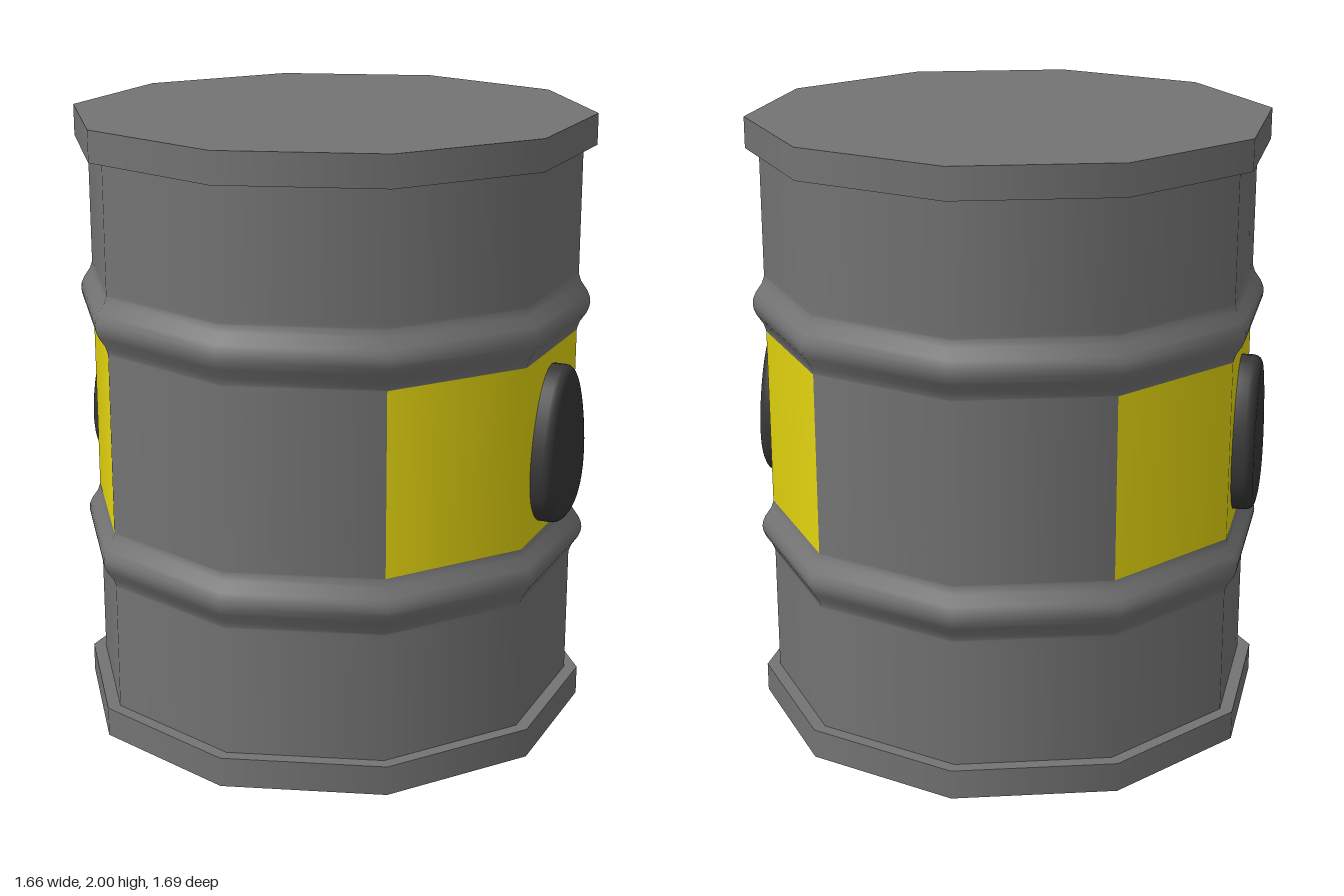
import * as THREE from 'three';
import { toCreasedNormals } from 'three/addons/utils/BufferGeometryUtils.js';

const SIDES = 10, STEP = Math.PI * 2 / SIDES;
const BODY_R = 0.8, RIM_R = 0.843;

const paint = (color) => new THREE.MeshStandardMaterial({ color, side: THREE.DoubleSide });

export function createModel() {
  const model = new THREE.Group();
  const steel = paint(0x747474), yellow = paint(0xe3d40f), dark = paint(0x363636);
  const grey = paint(0xcccccc), orange = paint(0xe06a14);

  const add = (name, geometry, material, parent = model) => {
    const mesh = new THREE.Mesh(geometry, material);
    mesh.name = name;
    parent.add(mesh);
    return mesh;
  };

  // Wall section turned from [radius, height] points over some of the ten sides
  const wall = (name, points, material, first = 0, count = SIDES) =>
    add(name, new THREE.LatheGeometry(points.map(([r, y]) => new THREE.Vector2(r, y)),
      count, first * STEP, count * STEP), material);

  // Rounded hoop profile between two heights
  const hoop = (y0, y1) => [[0, 0], [0.02, 0.03], [0.2, 0.14], [0.72, 0.3], [0.94, 0.41], [1, 0.5],
    [0.94, 0.59], [0.72, 0.7], [0.2, 0.86], [0.02, 0.97], [0, 1]]
    .map(([r, t]) => [BODY_R + 0.04 * r, y0 + (y1 - y0) * t]);

  wall('lowerBody', [[BODY_R, 0.1], [BODY_R, 0.5], ...hoop(0.52, 0.705)], steel);
  wall('upperBody', [...hoop(1.295, 1.485), [BODY_R, 1.5], [BODY_R, 1.9]], steel);

  // Middle band: yellow panels left and right, bare steel front and back
  const band = [[BODY_R, 0.705], [BODY_R, 1.295]];
  wall('leftPanel', band, yellow, 1, 3);
  wall('backBand', band, steel, 4, 2);
  wall('rightPanel', band, yellow, 6, 3);
  wall('frontBand', band, steel, 9, 2);

  // Rims with closed ends
  for (const [name, y0, y1] of [['bottomRim', 0.004, 0.1], ['topRim', 1.9, 2]]) {
    add(name, new THREE.CylinderGeometry(RIM_R, RIM_R, y1 - y0, SIDES), steel)
      .position.y = (y0 + y1) / 2;
  }

  // Plates on the underside
  const plate = (name, width, depth, x, y, z, material) =>
    add(name, new THREE.PlaneGeometry(width, depth).rotateX(Math.PI / 2), material).position.set(x, y, z);
  plate('basePlate', 0.94, 1.29, 0, 0.002, 0, grey);
  plate('basePatch', 0.48, 1.04, -0.2, 0, 0.09, orange);

  // Raised drop emblem on each panel
  const bevel = 0.03;
  const outline = new THREE.Shape();
  outline.moveTo(0, 0.76);
  outline.bezierCurveTo(0.1, 0.76, 0.155, 0.82, 0.155, 0.92);
  outline.bezierCurveTo(0.155, 1.03, 0.085, 1.215, 0, 1.215);
  outline.bezierCurveTo(-0.085, 1.215, -0.155, 1.03, -0.155, 0.92);
  outline.bezierCurveTo(-0.155, 0.82, -0.1, 0.76, 0, 0.76);
  const drop = toCreasedNormals(new THREE.ExtrudeGeometry(outline, {
    depth: 0.05, curveSegments: 10, bevelSize: bevel, bevelThickness: bevel, bevelSegments: 4,
  }), 0.9);
  for (const [name, side] of [['leftDrop', 1], ['rightDrop', -1]]) {
    const mesh = add(name, drop, dark);
    mesh.rotation.y = side * Math.PI / 2;
    mesh.position.x = side * (0.828 - 0.05 - bevel);
  }
  return model;
}
